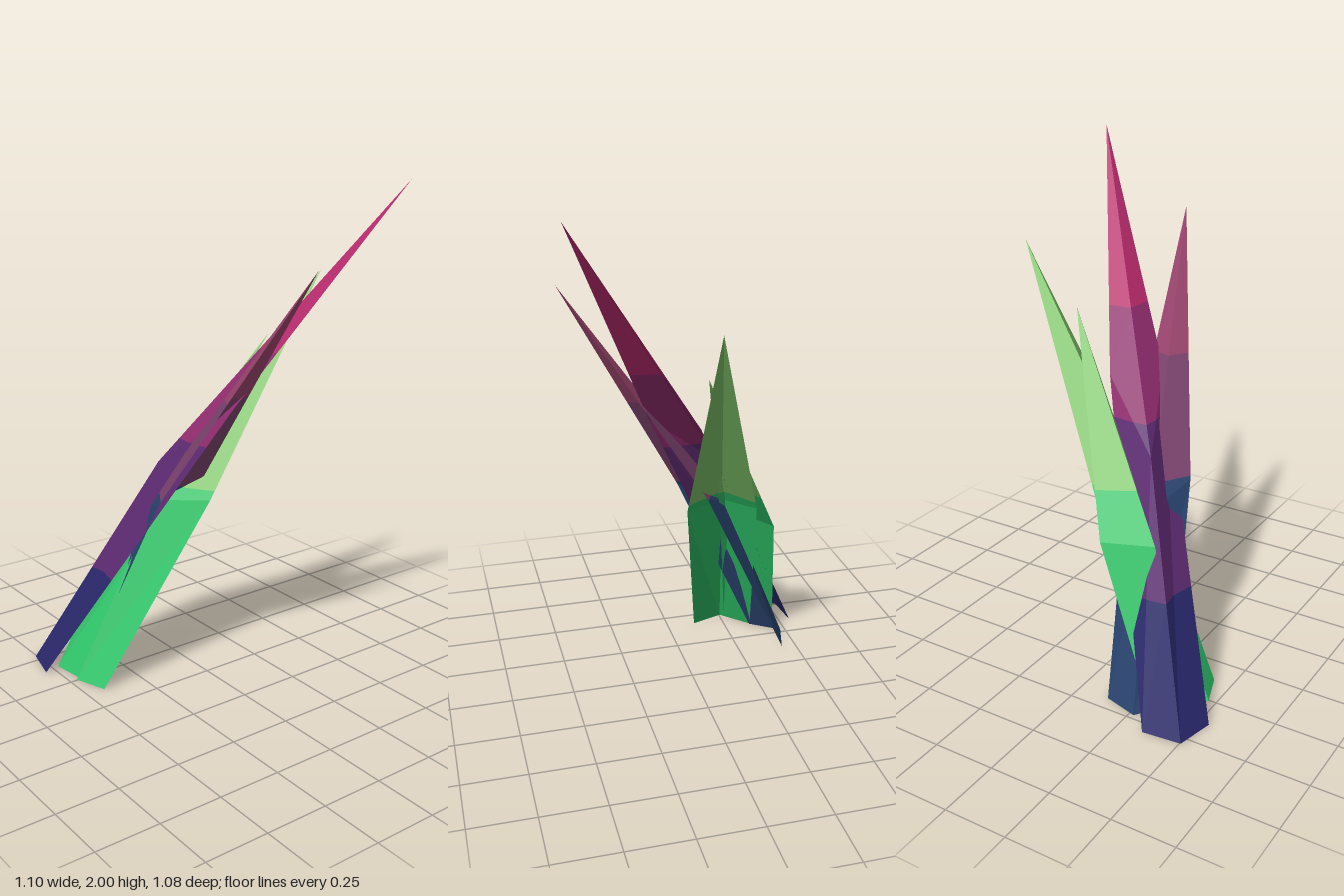
import * as THREE from 'three';

const material = (name, color) =>
  new THREE.MeshStandardMaterial({ name, color, flatShading: true, side: THREE.DoubleSide });

// Keep the part of a polygon on one side of a horizontal plane
function clip(poly, y, sign) {
  const out = [];
  poly.forEach((p, i) => {
    const q = poly[(i + 1) % poly.length];
    const dp = sign * (p.y - y), dq = sign * (q.y - y);
    if (dp >= 0) out.push(p);
    if (dp * dq < 0) out.push(p.clone().lerp(q, dp / (dp - dq)));
  });
  return out;
}

// Folded blade: two creased sides from base to shoulder, then up to a point,
// cut into horizontal colour bands given as [top height, material, name]
function blade(name, base, shoulder, tip, bands) {
  const group = new THREE.Group();
  group.name = name;
  const v = (p) => new THREE.Vector3(...p);
  const b = base.map(([x, z]) => new THREE.Vector3(x, 0, z));
  const s = shoulder.map(v);
  const t = v(tip);
  const faces = [];
  for (let i = 0; i < 2; i++) {
    faces.push([b[i], b[i + 1], s[i + 1]], [b[i], s[i + 1], s[i]], [s[i], s[i + 1], t]);
  }
  let low = -0.01;
  for (const [high, mat, label] of bands) {
    const pts = [];
    for (const face of faces) {
      const poly = clip(clip(face, low, 1), high, -1);
      for (let k = 1; k + 1 < poly.length; k++) pts.push(poly[0], poly[k], poly[k + 1]);
    }
    const geo = new THREE.BufferGeometry().setFromPoints(pts);
    geo.computeVertexNormals();
    const mesh = new THREE.Mesh(geo, mat);
    mesh.name = label;
    group.add(mesh);
    low = high;
  }
  return group;
}

export function createModel() {
  const model = new THREE.Group();
  model.name = 'crystalBlades';

  const indigo = material('indigo', 0x29276a);
  const violet = material('violet', 0x5d2a71);
  const plum = material('plum', 0x902c6e);
  const magenta = material('magenta', 0xb82b6d);
  const slate = material('slateBlue', 0x2a4470);
  const mauve = material('mauve', 0x7c436e);
  const rose = material('rose', 0x9a446d);
  const green = material('green', 0x2fc46a);
  const leaf = material('lightGreen', 0x80c66b);

  // Tall main blade
  model.add(blade('mainBlade',
    [[-0.55, 0.35], [-0.535, 0.505], [-0.383, 0.54]],
    [[0, 1.14, -0.13], [-0.135, 0.9, 0.137], [0.17, 1.15, 0.01]],
    [0.55, 2, -0.49],
    [[0.43, indigo, 'mainBase'], [1.0, violet, 'mainLower'],
      [1.37, plum, 'mainUpper'], [3, magenta, 'mainTip']]));

  // Blue and rose blade
  model.add(blade('sideBlade',
    [[-0.44, 0.13], [-0.48, 0.27], [-0.36, 0.355]],
    [[-0.06, 0.8, -0.01], [-0.19, 0.7, 0.165], [0.005, 0.78, 0.232]],
    [0.52, 1.71, -0.09],
    [[0.79, slate, 'sideBase'], [1.2, mauve, 'sideMiddle'], [3, rose, 'sideTip']]));

  // Two green blades
  const greens = [[0.785, green, 'greenBase'], [3, leaf, 'greenTip']];
  model.add(blade('largeGreenBlade',
    [[-0.363, 0.357], [-0.254, 0.47], [-0.12, 0.423]],
    [[-0.255, 0.75, -0.04], [-0.16, 0.73, 0.13], [0.02, 0.75, 0]],
    [0.035, 1.615, -0.54], greens));
  model.add(blade('smallGreenBlade',
    [[-0.466, 0.348], [-0.4, 0.473], [-0.27, 0.455]],
    [[-0.36, 0.62, 0.05], [-0.27, 0.61, 0.237], [-0.16, 0.63, 0.15]],
    [0.015, 1.385, -0.29], greens));

  return model;
}
